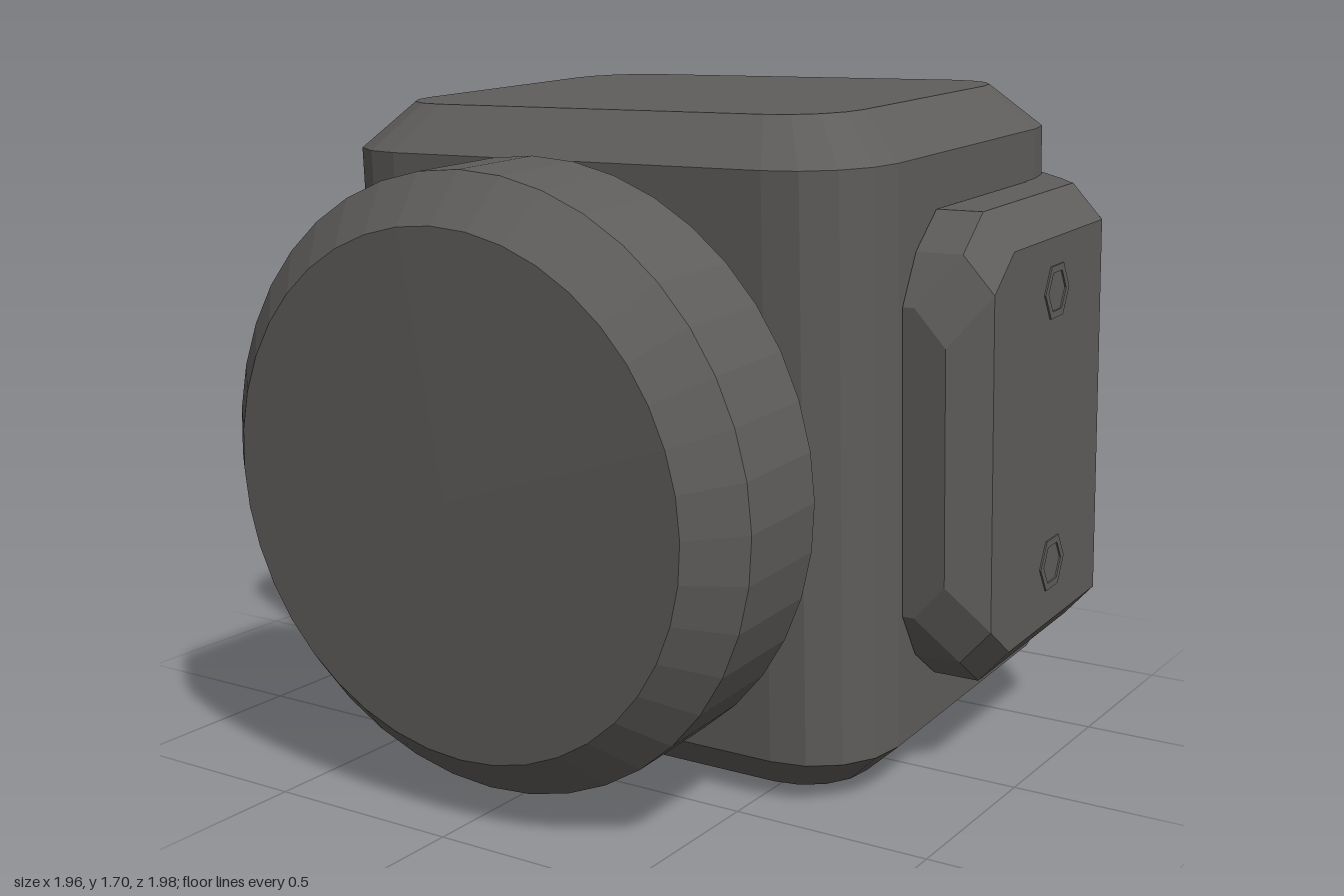
import * as THREE from 'three';

const CY = 0.855; // height of the housing centre

// Skin a list of equal-length rings and close both ends, facing outward
function loft(rings) {
  const n = rings[0].length, pos = rings.flat(), tris = [];
  for (let i = 0; i < rings.length - 1; i++) {
    for (let j = 0; j < n; j++) {
      const a = i * n + j, b = i * n + (j + 1) % n;
      tris.push([a, b, b + n], [a, b + n, a + n]);
    }
  }
  const e = (rings.length - 1) * n;
  for (let j = 1; j < n - 1; j++) tris.push([0, j + 1, j], [e, e + j, e + j + 1]);
  let vol = 0;
  for (const [a, b, c] of tris) vol += pos[a].dot(pos[b].clone().cross(pos[c]));
  const index = tris.flatMap(([a, b, c]) => (vol < 0 ? [a, c, b] : [a, b, c]));
  const g = new THREE.BufferGeometry().setFromPoints(pos).setIndex(index).toNonIndexed();
  g.computeVertexNormals();
  return g;
}

// Rounded rectangle in plan at height y
function planRing(y, inset, zBack, zFront) {
  const hx = 0.77 - inset, hz = (zFront - zBack) / 2 - inset, zc = (zFront + zBack) / 2;
  const r = 0.23 - inset * 0.5, pts = [];
  for (let q = 0; q < 4; q++) {
    const sx = q === 0 || q === 3 ? 1 : -1, sz = q < 2 ? 1 : -1;
    for (let k = 0; k <= 4; k++) {
      const a = (q + k / 4) * Math.PI / 2;
      pts.push(new THREE.Vector3(sx * (hx - r) + r * Math.cos(a), y, zc + sz * (hz - r) + r * Math.sin(a)));
    }
  }
  return pts;
}

// Side panel stations: x, z, normal x, normal z, half height, half opening, outer inset
const STATIONS = [
  [0.975, 0.21, 1, 0, 0.38, 0, 0.09],
  [0.975, 0.14, 1, 0, 0.5, 0, 0],
  [0.975, 0.03, 1, 0, 0.585, 0, 0],
  [0.975, -0.53, 1, 0, 0.585, 0, 0],
  [0.955, -0.57, 0.96, -0.28, 0.585, 0.24, 0],
  [0.9, -0.65, 0.85, -0.53, 0.585, 0.37, 0],
  [0.79, -0.77, 0.7, -0.71, 0.585, 0.38, 0],
  [0.64, -0.9, 0.6, -0.8, 0.56, 0.36, 0],
  [0.56, -0.955, 0.4, -0.92, 0.53, 0.22, 0],
  [0.53, -0.965, 0.35, -0.94, 0.52, 0, 0],
  [0.38, -0.97, 0, -1, 0.5, 0, 0],
  [0.335, -0.97, 0, -1, 0.47, 0, 0.06],
];

// Upper (up = 1) or lower (up = -1) half of a wrapped side panel
function panelHalf(side, up) {
  return loft(STATIONS.map(([x, z, nx, nz, T, H, off]) =>
    [[0.2, H], [off, H], [off, T - 0.09], [off + 0.08, T], [0.2, T]].map(([d, h]) =>
      new THREE.Vector3(side * (x - nx * d), CY + up * h, z - nz * d))));
}

// Thin hexagonal socket rim, facing +z
function hexRim() {
  const hex = (r) => Array.from({ length: 6 }, (_, i) =>
    new THREE.Vector2(r * Math.cos(i * Math.PI / 3), r * Math.sin(i * Math.PI / 3)));
  const s = new THREE.Shape(hex(0.075));
  s.holes.push(new THREE.Path(hex(0.055)));
  return new THREE.ExtrudeGeometry(s, { depth: 0.006, bevelEnabled: false });
}

export function createModel() {
  const model = new THREE.Group();
  model.name = 'cameraHousing';
  const grey = new THREE.MeshStandardMaterial({ color: 0x5f5d5b, flatShading: true });
  grey.name = 'dark grey';
  const tilted = new THREE.Group();
  tilted.name = 'tiltedHousing';
  tilted.position.y = CY;
  tilted.rotation.x = 0.05;
  model.add(tilted);
  const body = new THREE.Group();
  body.name = 'housing';
  body.position.y = -CY;
  tilted.add(body);
  const add = (name, geometry) => {
    const m = new THREE.Mesh(geometry, grey);
    m.name = name;
    body.add(m);
    return m;
  };

  // Core: chamfered top and bottom, with a through gap behind the middle
  for (const [name, s] of [['topCap', 1], ['bottomCap', -1]]) {
    add(name, loft([[0.5, 0], [0.715, 0], [0.828, 0.12]].map(([h, inset]) =>
      planRing(CY + s * h, inset, -0.805, 0.45))));
  }
  add('coreMiddle', loft([-0.51, 0.51].map((h) => planRing(CY + h, 0, -0.55, 0.45))));

  // Side panels with rounded openings at the rear corners
  for (const side of [1, -1]) {
    const label = side > 0 ? 'left' : 'right';
    add(label + 'PanelUpper', panelHalf(side, 1));
    add(label + 'PanelLower', panelHalf(side, -1));
    for (const y of [1.215, 0.515]) {
      const bolt = add(label + 'HexSocket', hexRim());
      bolt.position.set(side * 0.973, y, -0.23);
      bolt.rotation.y = side * Math.PI / 2;
    }
  }

  // Hex socket underneath
  const under = add('bottomHexSocket', hexRim());
  under.position.set(0.3, CY - 0.826, 0.1);
  under.rotation.x = Math.PI / 2;

  // Rear latch plate with a recessed slot
  const plate = new THREE.Shape([[-0.27, -0.46], [0.27, -0.46], [0.27, 0.46], [-0.27, 0.46]]
    .map(([x, y]) => new THREE.Vector2(x, y)));
  plate.holes.push(new THREE.Path([[-0.24, -0.2], [-0.24, 0.02], [0.24, 0.02], [0.24, -0.2]]
    .map(([x, y]) => new THREE.Vector2(x, y))));
  const latch = add('rearLatch', new THREE.ExtrudeGeometry(plate, {
    depth: 0.07, bevelEnabled: true, bevelSegments: 1, bevelSize: 0.045, bevelThickness: 0.045,
  }));
  latch.position.set(0, CY, -0.845);
  latch.rotation.y = Math.PI;
  const slot = add('slotFloor', new THREE.BoxGeometry(0.6, 0.96, 0.06));
  slot.position.set(0, CY, -0.84);

  // Neck and large round lens cap at the front
  const neck = add('lensNeck', new THREE.CylinderGeometry(0.625, 0.625, 0.2, 32));
  neck.rotation.x = Math.PI / 2;
  neck.position.set(0, CY, 0.49);
  const profile = [[0, 0.53], [0.66, 0.53], [0.742, 0.58], [0.742, 0.855], [0.63, 0.962], [0, 0.968]]
    .map(([r, z]) => new THREE.Vector2(r, z));
  const lens = add('lensCap', new THREE.LatheGeometry(profile, 40));
  lens.rotation.x = Math.PI / 2;
  lens.position.y = CY;

  return model;
}
